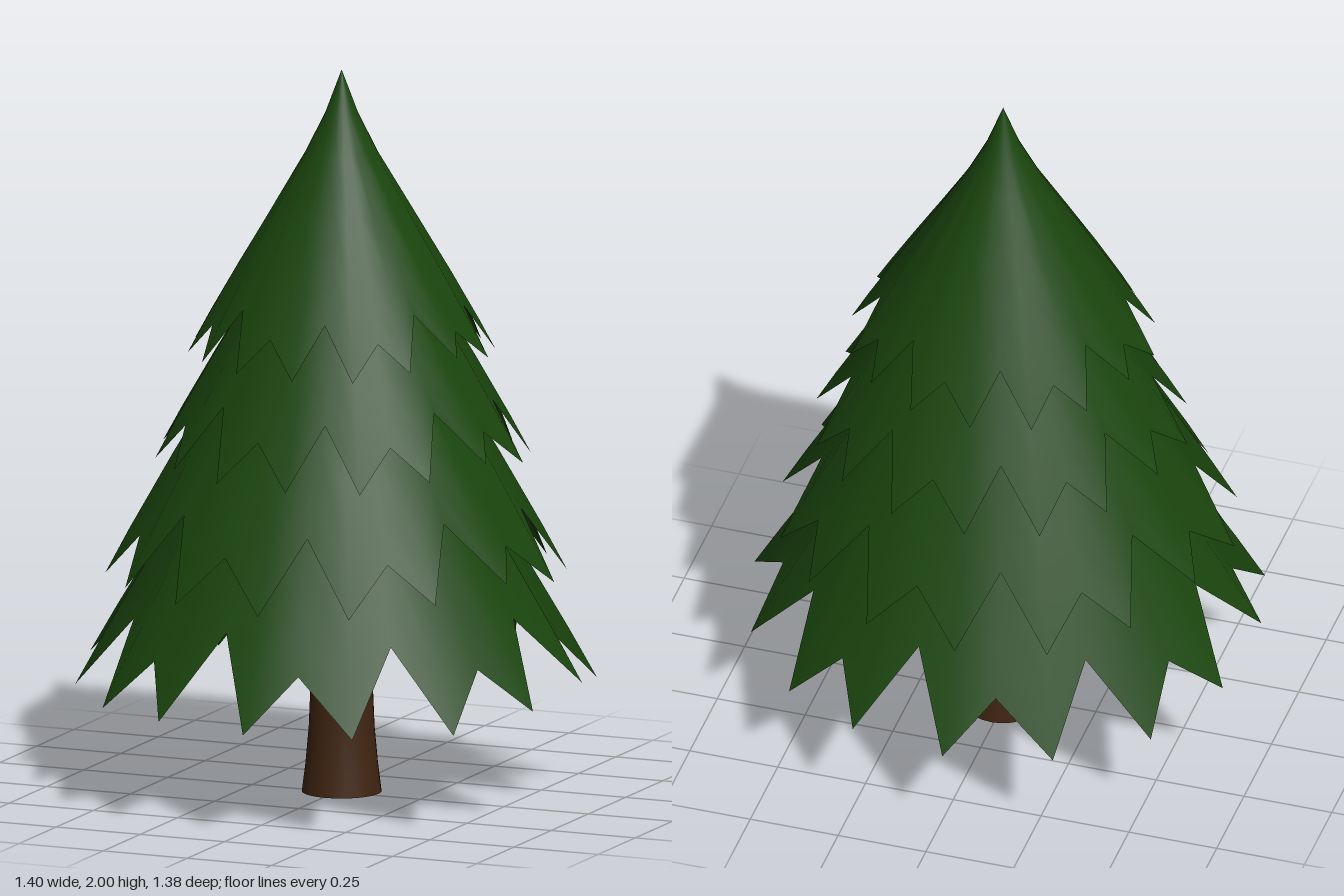
import * as THREE from 'three';

const leafMaterial = new THREE.MeshStandardMaterial({ color: 0x1a450d, side: THREE.DoubleSide });
const barkMaterial = new THREE.MeshStandardMaterial({ color: 0x402511 });

// Hem pattern of eight teeth, used twice around: angles in degrees, lifts as fractions of tooth length
const tipAngles = [-5.7, 16.6, 39, 62.5, 87.7, 110, 130, 152.2];
const tipLift = [0.22, 0.08, -0.06, -0.06, -0.04, 0, 0, 0.06];
const tipReach = [1.005, 1.005, 1, 0.985, 0.985, 0.995, 1.01, 1.015];
const notchAngles = [6, 27.3, 51, 75.8, 98.5, 119.8, 140.7, 164];
const notchLift = [1, 0.58, 0.9, 0.6];

// Tip and notch columns in order around the tree
function hemColumns() {
  const columns = [];
  for (let k = 0; k < 16; k++) {
    const i = k % 8;
    const half = k < 8 ? 0 : 180;
    columns.push({ angle: tipAngles[i] + half, lift: tipLift[i], reach: tipReach[i] });
    columns.push({ angle: notchAngles[i] + half, lift: notchLift[i % 4] });
  }
  return columns;
}

// One pleated skirt of branches: a cone with a slimmer peak and a toothed hem
function branchTier({ name, radius, hem, tooth, turn, center }) {
  const columns = hemColumns();
  const size = radius / 0.415;
  const upper = [[0, 0.78], [0.045, 0.66], [0.1, 0.55]].map(([r, h]) => [r * size, hem + h * size]);
  const [r0, y0] = upper[upper.length - 1];
  const slope = (radius - r0) / (y0 - hem);
  const steps = [0.3, 0.6, 0.85, 1];
  const rows = upper.length + steps.length;
  const positions = [];
  const index = [];

  columns.forEach(({ angle, lift, reach }, j) => {
    const a = THREE.MathUtils.degToRad(angle + turn);
    const put = (r, y) => positions.push(center[0] + r * Math.cos(a), y, center[1] + r * Math.sin(a));
    upper.forEach(([r, y]) => put(r, y));
    // Tips keep the full radius and swell into ridges, notches fold inward
    const hemY = hem + lift * tooth;
    const hemCone = r0 + (y0 - hemY) * slope;
    const pleat = reach ? (radius * reach) / hemCone : 0.99;
    const fold = reach ? 0.09 : -0.05;
    steps.forEach((t) => {
      const y = y0 + (hemY - y0) * t;
      put((r0 + (y0 - y) * slope) * (1 + (pleat - 1) * t + fold * t * (1 - t)), y);
    });
    const next = (j + 1) % columns.length;
    for (let i = 0; i < rows - 1; i++) {
      const p = j * rows + i;
      const q = next * rows + i;
      if (i > 0) index.push(p, q, p + 1);
      index.push(q, q + 1, p + 1);
    }
  });

  const geometry = new THREE.BufferGeometry();
  geometry.setAttribute('position', new THREE.Float32BufferAttribute(positions, 3));
  geometry.setIndex(index);
  geometry.computeVertexNormals();
  const mesh = new THREE.Mesh(geometry, leafMaterial);
  mesh.name = name;
  return mesh;
}

export function createModel() {
  const tree = new THREE.Group();
  tree.name = 'pineTree';

  // Trunk, flared at the foot
  const outline = [[0.109, 0], [0.099, 0.08], [0.09, 0.18], [0.083, 0.35], [0.075, 0.6], [0.05, 1.2]];
  const trunk = new THREE.Mesh(
    new THREE.LatheGeometry(outline.map(([r, y]) => new THREE.Vector2(r, y)), 24),
    barkMaterial
  );
  const base = new THREE.Mesh(new THREE.CircleGeometry(0.109, 24).rotateX(Math.PI / 2), barkMaterial);
  trunk.name = 'trunk';
  base.name = 'trunkBase';
  trunk.position.set(0.007, 0, -0.022);
  trunk.add(base);
  tree.add(trunk);

  // Four overlapping skirts of branches, top to bottom
  const tiers = [
    { name: 'topBranches', radius: 0.415, hem: 1.22, tooth: 0.15, turn: 23, center: [0.007, -0.022] },
    { name: 'upperBranches', radius: 0.507, hem: 0.93, tooth: 0.18, turn: 22, center: [0.01, -0.025] },
    { name: 'middleBranches', radius: 0.622, hem: 0.61, tooth: 0.21, turn: 24, center: [-0.005, -0.012] },
    { name: 'lowerBranches', radius: 0.7, hem: 0.295, tooth: 0.24, turn: 0, center: [0, 0] },
  ];
  tiers.forEach((tier) => tree.add(branchTier(tier)));
  return tree;
}
